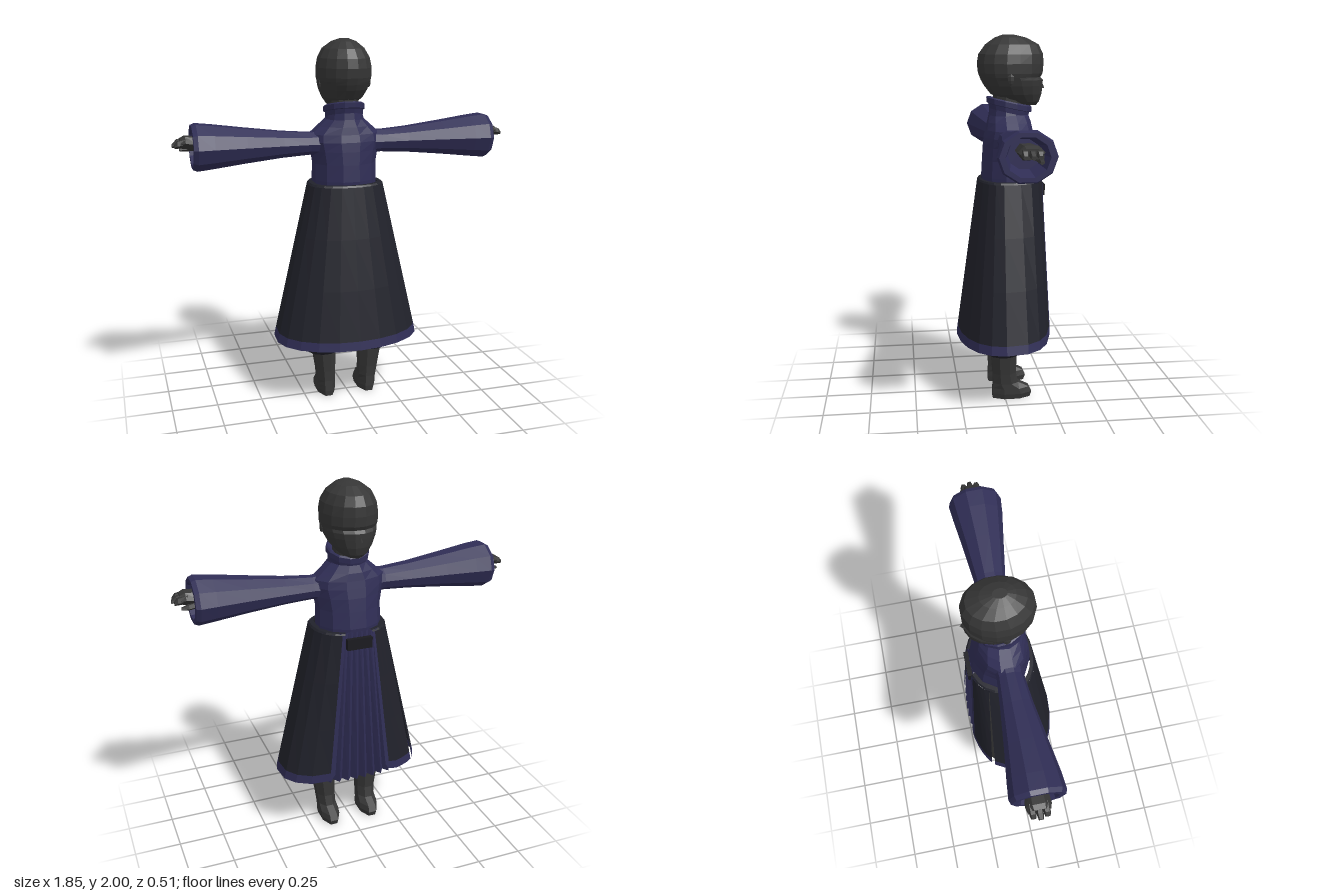
import * as THREE from 'three';

const mat = (name, color, side = THREE.FrontSide) =>
  Object.assign(new THREE.MeshStandardMaterial({ color, side, flatShading: true }), { name });
const charcoal = mat('charcoal', 0x363636, THREE.DoubleSide);
const navy = mat('navy cloth', 0x302e56, THREE.DoubleSide);
const dark = mat('dark cloth', 0x21222b, THREE.DoubleSide);
const black = mat('buckle black', 0x1a1a1f);

const lerp = THREE.MathUtils.lerp;

function mesh(name, geometry, material) {
  const m = new THREE.Mesh(geometry, material);
  m.name = name;
  return m;
}

function build(points, index) {
  const g = new THREE.BufferGeometry().setFromPoints(points);
  g.setIndex(index);
  g.computeVertexNormals();
  return g;
}

// Skin closed rings of equal size, capping both ends
function loft(rings) {
  const n = rings[0].length, pts = rings.flat(), idx = [];
  for (let r = 0; r < rings.length - 1; r++)
    for (let i = 0; i < n; i++) {
      const a = r * n + i, b = r * n + (i + 1) % n;
      idx.push(a, a + n, b, b, a + n, b + n);
    }
  const top = (rings.length - 1) * n;
  for (let i = 1; i < n - 1; i++) idx.push(0, i, i + 1, top, top + i + 1, top + i);
  return build(pts, idx);
}

// Level ring: height, half width, front z, back z
function ring(y, hw, zf, zb, n = 12, cx = 0, tilt = 0) {
  return Array.from({ length: n }, (_, i) => {
    const a = ((i + 0.5) / n) * Math.PI * 2;
    const k = 1 / Math.cos(Math.PI / n);
    const z = (zf + zb) / 2 + (Math.sin(a) * k * (zb - zf)) / 2;
    return new THREE.Vector3(cx + Math.cos(a) * hw * k, y + tilt * z, z);
  });
}

// Upright ring across an arm: x, centre y, centre z, half height, half depth
function armRing(s, x, cy, cz, hy, hz, n = 10) {
  return Array.from({ length: n }, (_, i) => {
    const a = ((i + 0.5) / n) * Math.PI * 2;
    return new THREE.Vector3(s * x, cy + Math.cos(a) * hy * 1.04, cz - s * Math.sin(a) * hz * 1.04);
  });
}

// Open sheet from a rule f(u, v)
function sheet(f, cols, rows) {
  const pts = [], idx = [];
  for (let j = 0; j <= rows; j++)
    for (let i = 0; i <= cols; i++) {
      pts.push(f(i / cols, j / rows));
      if (i < cols && j < rows) {
        const a = j * (cols + 1) + i, c = a + cols + 1;
        idx.push(a, a + 1, c, a + 1, c + 1, c);
      }
    }
  return build(pts, idx);
}

// Point on the flared skirt: angle from the face side, v from waist to hem
const OPEN = 0.38, FULL = Math.PI * 2;
function skirtPoint(a, v, inset = 1) {
  const c = Math.cos(a), t = Math.max(v, 0);
  const edge = Math.min(a, FULL - a) - OPEN;
  const lift = 0.05 * Math.max(0, 1 - edge / 0.16) ** 2 + 0.012 * (1 + c);
  const s = (v < 0 ? 0.85 : v < 0.01 ? 0.97 : 1) * inset;
  const depth = c > 0 ? lerp(0.222, 0.262, t) * c ** 0.7 : -lerp(0.135, 0.257, t) * (-c) ** 0.9;
  return new THREE.Vector3(lerp(0.205, 0.41, t) * Math.sin(a) * s, 1.235 - t * (0.895 - lift), -depth * s);
}
// Skirt patch; each side is [angle at waist, angle at hem]
function patch(name, material, from, to, v0, v1, cols, rows, inset) {
  return mesh(name, sheet((u, w) => {
    const v = lerp(v0, v1, w);
    return skirtPoint(lerp(lerp(from[0], from[1], v), lerp(to[0], to[1], v), u), v, inset);
  }, cols, rows), material);
}

function makeHead() {
  const g = new THREE.Group();
  g.name = 'head';
  const profile = [
    [1.63, 0.04, -0.185, -0.07], [1.65, 0.075, -0.2, -0.02], [1.69, 0.108, -0.212, 0.06],
    [1.735, 0.13, -0.216, 0.095], [1.765, 0.138, -0.218, 0.112], [1.78, 0.142, -0.204, 0.118],
    [1.8, 0.146, -0.216, 0.126], [1.85, 0.147, -0.22, 0.132], [1.9, 0.137, -0.218, 0.124],
    [1.95, 0.11, -0.195, 0.088], [1.985, 0.065, -0.13, 0.04], [2, 0.025, -0.07, 0],
  ];
  g.add(mesh('skull', loft(profile.map(p => ring(...p, 16))), charcoal));
  const nose = mesh('nose', new THREE.ConeGeometry(0.016, 0.04, 4), charcoal);
  nose.position.set(0, 1.74, -0.215);
  g.add(nose);
  for (const s of [-1, 1]) {
    const ear = mesh('ear', new THREE.SphereGeometry(1, 6, 5), charcoal);
    ear.scale.set(0.012, 0.035, 0.02);
    ear.position.set(s * 0.138, 1.775, -0.03);
    g.add(ear);
  }
  g.add(mesh('neck', loft([ring(1.55, 0.075, -0.12, 0.045, 10), ring(1.7, 0.075, -0.13, 0.045, 10)]), charcoal));
  return g;
}

function makeArm(s) {
  const g = new THREE.Group();
  g.name = s > 0 ? 'leftArm' : 'rightArm';
  // Flared sleeve that turns in at the cuff
  const sleeve = [
    [0.1, 1.45, -0.03, 0.07, 0.075], [0.2, 1.45, -0.027, 0.06, 0.066], [0.35, 1.452, -0.025, 0.07, 0.08],
    [0.55, 1.455, -0.02, 0.092, 0.105], [0.72, 1.457, -0.017, 0.113, 0.128], [0.805, 1.457, -0.017, 0.122, 0.136],
    [0.828, 1.457, -0.017, 0.113, 0.128], [0.828, 1.457, -0.017, 0.092, 0.1], [0.7, 1.457, -0.017, 0.07, 0.075],
  ];
  g.add(mesh('sleeve', loft(sleeve.map(p => armRing(s, ...p))), navy));
  const palm = [
    [0.68, 1.475, -0.02, 0.035, 0.045], [0.79, 1.475, -0.025, 0.038, 0.055],
    [0.86, 1.485, -0.025, 0.034, 0.06], [0.885, 1.48, -0.025, 0.026, 0.052],
  ];
  g.add(mesh('hand', loft(palm.map(p => armRing(s, ...p, 6))), charcoal));
  for (let i = 0; i < 3; i++) {
    const z = -0.06 + i * 0.034, end = i === 1 ? 0.926 : 0.916;
    g.add(mesh('finger', loft([armRing(s, 0.85, 1.485, z, 0.024, 0.018, 5),
      armRing(s, 0.9, 1.478, z, 0.02, 0.017, 5), armRing(s, end, 1.468, z, 0.01, 0.012, 5)]), charcoal));
  }
  g.add(mesh('thumb', loft([armRing(s, 0.78, 1.455, -0.06, 0.02, 0.02, 5),
    armRing(s, 0.85, 1.445, -0.072, 0.016, 0.016, 5), armRing(s, 0.885, 1.44, -0.07, 0.008, 0.01, 5)]), charcoal));
  return g;
}

function makeLeg(s) {
  const g = new THREE.Group();
  g.name = s > 0 ? 'leftLeg' : 'rightLeg';
  const puff = [[0.27, 0.09, -0.08, 0.1], [0.3, 0.122, -0.115, 0.135], [0.35, 0.13, -0.125, 0.145],
    [0.42, 0.12, -0.12, 0.13], [0.8, 0.1, -0.1, 0.1]];
  g.add(mesh('trouserLeg', loft(puff.map(p => ring(...p, 12, s * 0.142))), dark));
  const boot = [[0, 0.048, -0.14, 0.068, 0.12], [0.03, 0.054, -0.15, 0.07, 0.121], [0.06, 0.052, -0.135, 0.068, 0.122],
    [0.09, 0.05, -0.075, 0.066, 0.123], [0.15, 0.053, -0.06, 0.068, 0.127], [0.29, 0.066, -0.065, 0.08, 0.136]];
  g.add(mesh('boot', loft(boot.map(([y, w, f, b, x]) => ring(y, w, f, b, 8, s * x))), charcoal));
  return g;
}

function makeSkirt() {
  const g = new THREE.Group();
  g.name = 'overskirt';
  const T = 0.075, HEM = 0.945, end = FULL - OPEN;
  const slitA = [FULL - 1.06, FULL - 1.1], slitB = [FULL - 1.05, FULL - 1.02];
  const L = [OPEN, OPEN], L2 = [OPEN + T, OPEN + T], R = [end, end], R2 = [end - T, end - T];
  g.add(
    patch('waistRim', dark, L, R, -0.01, 0.012, 20, 2),
    patch('mainPanel', dark, L2, slitA, 0.012, HEM, 16, 3),
    patch('mainHem', navy, L2, slitA, HEM, 1, 16, 1),
    patch('sidePanel', dark, slitB, R2, 0.012, HEM, 4, 3),
    patch('sideHem', navy, slitB, R2, HEM, 1, 4, 1),
    patch('leftEdgeTrim', navy, L, L2, 0.012, 1, 2, 4),
    patch('rightEdgeTrim', navy, R2, R, 0.012, 1, 2, 4),
    patch('slitLining', charcoal, [slitA[0] - 0.05, slitA[1] - 0.05], [slitB[0] + 0.05, slitB[1] + 0.05], 0.03, 0.94, 2, 3, 0.97),
  );
  // Pleated panel filling the opening
  g.add(mesh('pleats', sheet((u, v) => {
    const k = Math.round(u * 16), x = lerp(0.11, 0.2, v) * (2 * u - 1);
    const fold = (k % 2 ? -1 : 1) * lerp(0.004, 0.018, v);
    return new THREE.Vector3(x, lerp(1.235, 0.36, v), -lerp(0.2, 0.238, v) + fold + x * x * 0.6);
  }, 16, 3), navy));
  const buckle = mesh('buckle', new THREE.BoxGeometry(0.14, 0.06, 0.025), black);
  buckle.position.set(0, 1.175, -0.215);
  g.add(buckle);
  return g;
}

export function createModel() {
  const model = new THREE.Group();
  model.name = 'robedFigure';
  const torso = [
    [1.2, 0.172, -0.195, 0.105], [1.25, 0.172, -0.2, 0.11], [1.34, 0.17, -0.188, 0.105], [1.41, 0.182, -0.178, 0.1],
    [1.46, 0.195, -0.168, 0.095], [1.5, 0.19, -0.16, 0.085], [1.54, 0.145, -0.153, 0.078], [1.58, 0.1, -0.14, 0.07],
  ];
  model.add(mesh('tunic', loft(torso.map(p => ring(...p))), navy));
  // Two-tier collar tipping down toward the face side
  const collar = [
    [1.56, 0.108, -0.145, 0.07], [1.6, 0.098, -0.138, 0.066], [1.625, 0.1, -0.145, 0.072], [1.628, 0.108, -0.156, 0.08],
    [1.655, 0.108, -0.158, 0.082], [1.662, 0.1, -0.15, 0.074], [1.64, 0.08, -0.13, 0.055],
  ];
  model.add(mesh('collar', loft(collar.map(p => ring(...p, 12, 0, 0.22))), navy));
  model.add(makeHead(), makeSkirt());
  for (const s of [-1, 1]) model.add(makeArm(s), makeLeg(s));
  return model;
}
